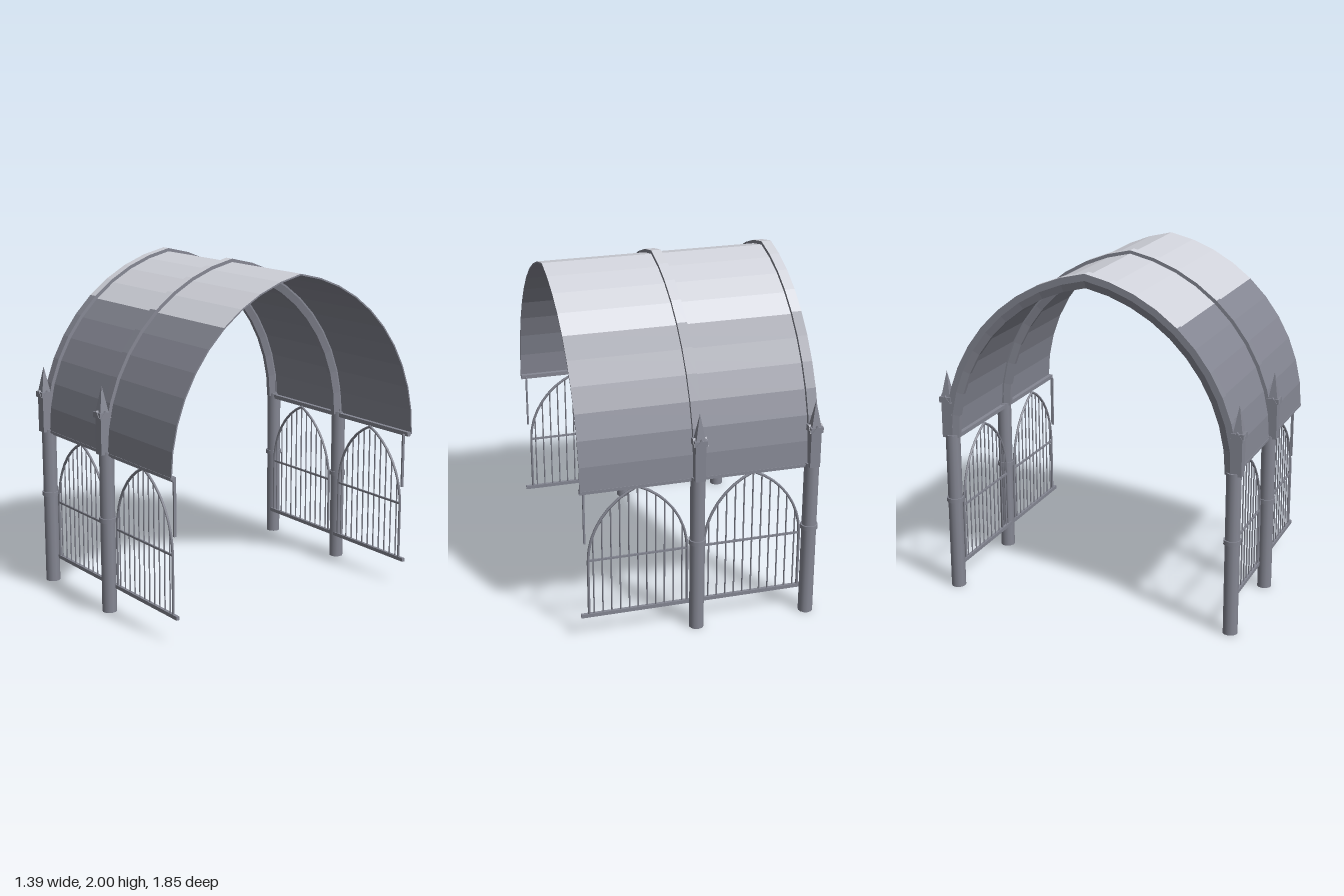
import * as THREE from 'three';

const SPRING = 0.95;   // height where the vault starts
const SEGS = 10;       // facets on each half of the vault

// Pointed arch: two equal arcs meeting at the ridge, listed from +u to -u
function archPoints(half, rise, y0, n) {
  const sum = rise * rise / half, R = (sum + half) / 2, c = (sum - half) / 2;
  const top = Math.acos(c / R), side = [];
  for (let i = 0; i <= n; i++) {
    const a = top * i / n;
    side.push([R * Math.cos(a) - c, y0 + R * Math.sin(a)]);
  }
  side[n][0] = 0;
  return [...side, ...side.slice(0, n).reverse().map(([u, y]) => [-u, y])];
}

// Faceted strip between two parallel arches, each given as [x, half, rise]
function vaultStrip(a, b, from = 0, to = 2 * SEGS) {
  const pa = archPoints(a[1], a[2], SPRING, SEGS), pb = archPoints(b[1], b[2], SPRING, SEGS);
  const pos = [];
  for (let i = from; i < to; i++) {
    const A = [a[0], pa[i][1], pa[i][0]], B = [b[0], pb[i][1], pb[i][0]];
    const C = [a[0], pa[i + 1][1], pa[i + 1][0]], D = [b[0], pb[i + 1][1], pb[i + 1][0]];
    pos.push(...A, ...B, ...C, ...B, ...D, ...C);
  }
  const g = new THREE.BufferGeometry();
  g.setAttribute('position', new THREE.Float32BufferAttribute(pos, 3));
  g.computeVertexNormals();
  return g;
}

export function createModel() {
  const model = new THREE.Group();
  const metal = new THREE.MeshStandardMaterial({ color: 0x858793 });
  metal.name = 'blue grey metal';
  const pale = new THREE.MeshStandardMaterial({ color: 0xd0d2da });
  pale.name = 'pale grey';

  const add = (parent, name, geo, mat = metal, x = 0, y = 0, z = 0) => {
    const m = new THREE.Mesh(geo, mat);
    m.name = name;
    m.position.set(x, y, z);
    parent.add(m);
    return m;
  };
  const group = (name, parent = model) => {
    const g = new THREE.Group();
    g.name = name;
    parent.add(g);
    return g;
  };

  // Closed section swept over the arch; the crown of its outer face is pale
  const LOW = 6, HIGH = 14;
  function vault(name, section) {
    const g = group(name);
    section.forEach((p, i) => {
      const q = section[(i + 1) % section.length];
      if (i > 0) return add(g, name + 'Face', vaultStrip(p, q));
      add(g, name + 'FrontSlope', vaultStrip(p, q, 0, LOW));
      add(g, name + 'Crown', vaultStrip(p, q, LOW, HIGH), pale);
      add(g, name + 'BackSlope', vaultStrip(p, q, HIGH, 2 * SEGS));
    });
  }

  // Roof sheet
  vault('roof', [
    [-0.665, 0.872, 1.03], [0.695, 0.872, 1.03], [0.695, 0.864, 1.021], [-0.665, 0.864, 1.021],
  ]);

  // Ribs with a tapered underside
  const columnX = [-0.645, 0.025];
  for (const x of columnX) {
    vault('rib', [
      [x - 0.029, 0.893, 1.05], [x + 0.029, 0.893, 1.05], [x + 0.029, 0.855, 1.01],
      [x + 0.014, 0.815, 0.967], [x - 0.014, 0.815, 0.967], [x - 0.029, 0.855, 1.01],
    ]);
  }

  // Small gable prism, centred along its depth
  const gableShape = new THREE.Shape([[-0.034, 0], [0.034, 0], [0, 0.042]].map(p => new THREE.Vector2(...p)));
  const gableGeo = new THREE.ExtrudeGeometry(gableShape, { depth: 0.08, bevelEnabled: false });
  gableGeo.translate(0, 0, -0.04);
  const spireGeo = new THREE.ConeGeometry(0.042, 0.17, 4, 1).rotateY(Math.PI / 4).toNonIndexed();
  spireGeo.computeVertexNormals();

  function column(x, parent) {
    const g = group('column', parent);
    add(g, 'shaft', new THREE.CylinderGeometry(0.043, 0.043, 0.965, 12), metal, x, 0.4825, 0.863);
    add(g, 'collar', new THREE.CylinderGeometry(0.051, 0.051, 0.026, 12), metal, x, 0.558, 0.863);
    // Pinnacle on the shoulder of the rib
    add(g, 'pinnacleBlock', new THREE.BoxGeometry(0.06, 0.23, 0.065), metal, x, 1.065, 0.882);
    add(g, 'pinnacleCollar', new THREE.BoxGeometry(0.074, 0.03, 0.074), metal, x, 1.182, 0.887);
    add(g, 'gable', gableGeo, metal, x, 1.165, 0.887);
    add(g, 'gable', gableGeo, metal, x, 1.165, 0.887).rotation.y = Math.PI / 2;
    add(g, 'spire', spireGeo, metal, x, 1.265, 0.887);
  }

  // Arched grille of one bay
  const HALF = 0.287, RISE = 0.432, FOOT = 0.155, ARCH_Y = 0.5, GRILLE_Z = 0.833;
  function grille(cx, parent) {
    const g = group('grille', parent);
    g.position.set(cx, 0, GRILLE_Z);
    const pts = archPoints(HALF, RISE, ARCH_Y, 8);
    const path = new THREE.CurvePath();
    const v = [[HALF, FOOT], ...pts, [-HALF, FOOT]].map(p => new THREE.Vector3(p[0], p[1], 0));
    for (let i = 0; i < v.length - 1; i++) path.add(new THREE.LineCurve3(v[i], v[i + 1]));
    add(g, 'archFrame', new THREE.TubeGeometry(path, 80, 0.008, 6));
    add(g, 'midRail', new THREE.BoxGeometry(2 * HALF, 0.012, 0.01), metal, 0, 0.505, 0);
    // Bars rise until they meet the arch
    const sum = RISE * RISE / HALF, R = (sum + HALF) / 2, c = (sum - HALF) / 2;
    for (let i = -5; i <= 5; i++) {
      const x = i * 0.0515;
      const top = ARCH_Y + Math.sqrt(R * R - (Math.abs(x) + c) ** 2);
      add(g, 'bar', new THREE.CylinderGeometry(0.0045, 0.0045, top - FOOT, 6), metal, x, (top + FOOT) / 2, 0);
    }
  }

  // Both side walls; the back one is the front turned by mirrored layout
  for (const s of [1, -1]) {
    const wall = group(s > 0 ? 'frontWall' : 'backWall');
    if (s < 0) wall.rotation.y = Math.PI;
    for (const x of columnX) column(s * x, wall);
    for (const x of [-0.31, 0.362]) grille(s * x, wall);
    const mid = s * 0.025, len = 1.34;
    // Eaves beam, with a slim moulding, and the bottom rail
    add(wall, 'eavesBeam', new THREE.BoxGeometry(len, 0.014, 0.036), metal, mid, 0.951, 0.856);
    add(wall, 'eavesMoulding', new THREE.BoxGeometry(len, 0.012, 0.022), metal, mid, 0.939, 0.85);
    add(wall, 'bottomRail', new THREE.BoxGeometry(len, 0.022, 0.018), metal, mid, 0.155, GRILLE_Z);
    // Short hanger at the open end
    add(wall, 'hanger', new THREE.BoxGeometry(0.01, 0.33, 0.016), metal, s * 0.667, 0.78, 0.83);
  }
  return model;
}
